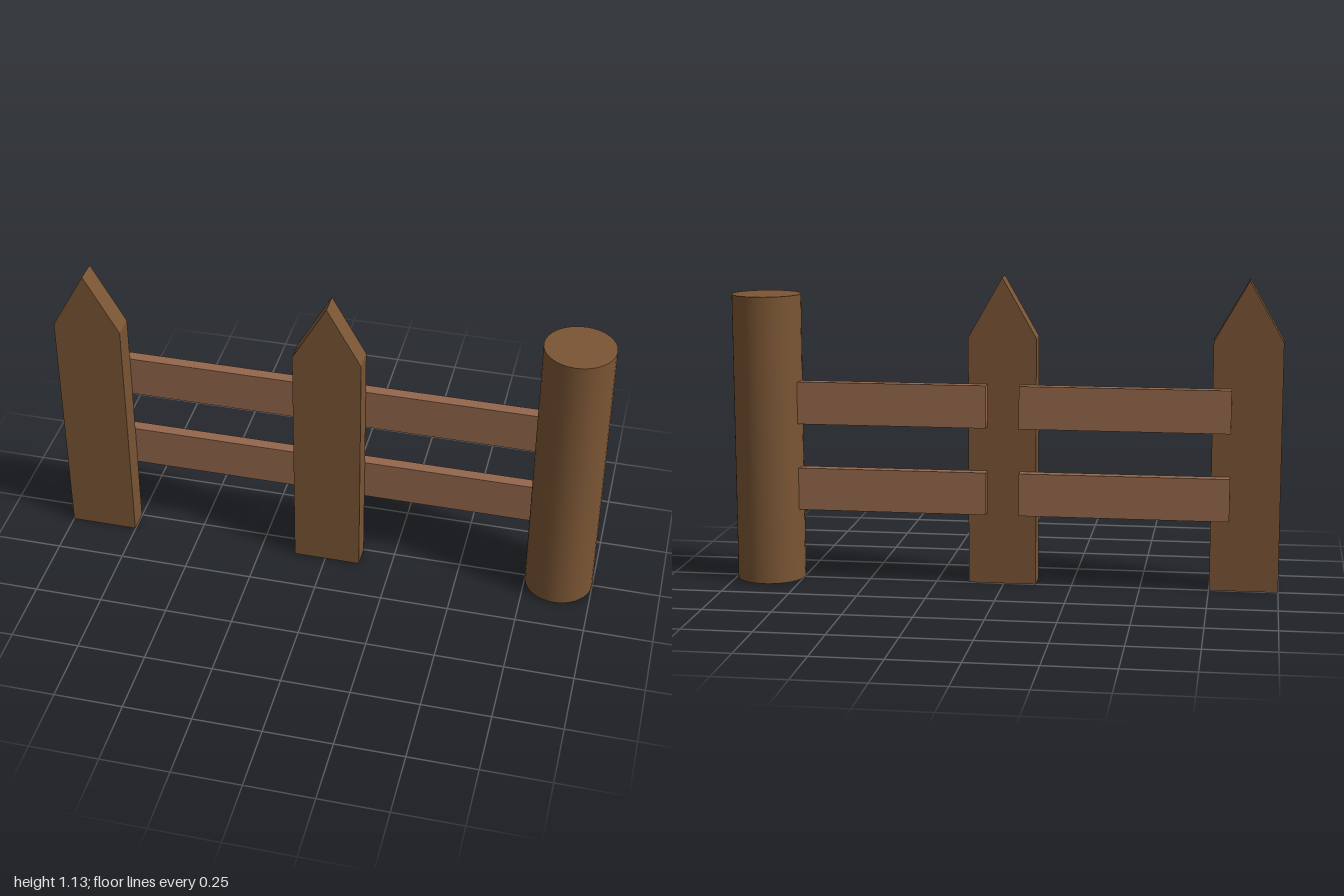
import * as THREE from 'three';

const postWood = new THREE.MeshStandardMaterial({ color: 0x7a5534 });
const railWood = new THREE.MeshStandardMaterial({ color: 0x94674c });

// Pointed board standing on the ground, its back face at z = 0
function createPicket(name, x) {
  const w = 0.124, shoulder = 0.91, tip = 1.128;
  const outline = new THREE.Shape([
    new THREE.Vector2(-w, 0),
    new THREE.Vector2(w, 0),
    new THREE.Vector2(w, shoulder),
    new THREE.Vector2(0, tip),
    new THREE.Vector2(-w, shoulder),
  ]);
  const geometry = new THREE.ExtrudeGeometry(outline, { depth: 0.083, bevelEnabled: false });
  const picket = new THREE.Mesh(geometry, postWood);
  picket.name = name;
  picket.position.x = x;
  return picket;
}

// Horizontal board behind the pickets
function createRail(name, x0, x1, y) {
  const depth = 0.043;
  const rail = new THREE.Mesh(new THREE.BoxGeometry(x1 - x0, 0.156, depth), railWood);
  rail.name = name;
  rail.position.set((x0 + x1) / 2, y, -depth / 2);
  return rail;
}

export function createModel() {
  const fence = new THREE.Group();
  fence.name = 'fence';

  // Pickets
  fence.add(createPicket('endPicket', -0.876), createPicket('middlePicket', 0.006));

  // Round post
  const height = 1.058;
  const post = new THREE.Mesh(new THREE.CylinderGeometry(0.126, 0.126, height, 32), postWood);
  post.name = 'roundPost';
  post.position.set(0.874, height / 2, 0);
  fence.add(post);

  // Two rails on each side of the middle picket; the left ones run into the post
  for (const [level, y] of [['lower', 0.343], ['upper', 0.663]]) {
    fence.add(createRail(level + 'RightRail', -0.82, -0.06, y));
    fence.add(createRail(level + 'LeftRail', 0.06, 0.82, y));
  }
  return fence;
}
